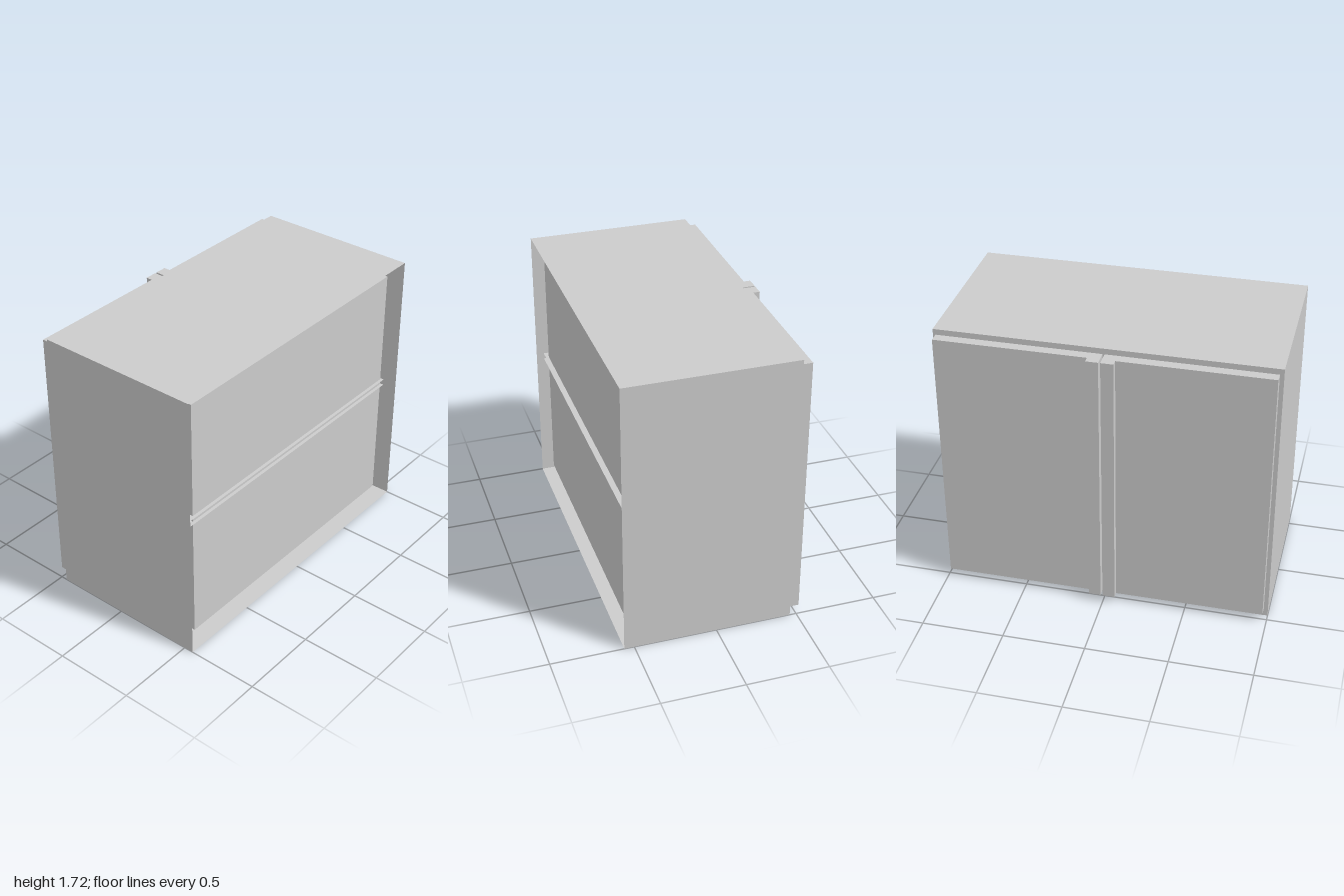
import * as THREE from 'three';

const solid = new THREE.MeshStandardMaterial({ color: 0xcccccc, flatShading: true });
const sheet = new THREE.MeshStandardMaterial({ color: 0xcccccc, flatShading: true, side: THREE.DoubleSide });

// Box given by its limits [min, max] along x, y and z; openSide leaves out the +x face.
function box(name, [x0, x1], [y0, y1], [z0, z1], openSide = false) {
  const geometry = new THREE.BoxGeometry(x1 - x0, y1 - y0, z1 - z0);
  if (openSide) {
    geometry.setIndex(Array.from(geometry.index.array).slice(6));
    geometry.clearGroups();
  }
  const mesh = new THREE.Mesh(geometry, openSide ? sheet : solid);
  mesh.name = name;
  mesh.position.set((x0 + x1) / 2, (y0 + y1) / 2, (z0 + z1) / 2);
  return mesh;
}

export function createModel() {
  const cabinet = new THREE.Group();
  cabinet.name = 'cabinet';

  // Thin outer shell, open towards +x
  cabinet.add(box('shell', [-0.46, 0.56], [0, 1.715], [-1, 1], true));

  // Recessed panel inside the open side, with a gap all round
  cabinet.add(box('innerPanel', [0.44, 0.5], [0.075, 1.64], [-0.91, 0.91]));

  // Shelf channel that pokes slightly through the panel
  cabinet.add(box('shelf', [0.42, 0.52], [0.872, 0.91], [-0.92, 0.968], true));

  // Pair of doors on the -x side, each with a full-height grip at the middle
  const doors = [
    { side: 'back', door: [-0.985, -0.012], grip: [-0.085, -0.012] },
    { side: 'front', door: [0, 0.975], grip: [0, 0.075] },
  ];
  for (const { side, door, grip } of doors) {
    const group = new THREE.Group();
    group.name = `${side}Door`;
    group.add(box('doorPanel', [-0.52, -0.46], [0.05, 1.68], door));
    group.add(box('doorGrip', [-0.56, -0.52], [0.05, 1.68], grip));
    cabinet.add(group);
  }

  return cabinet;
}
